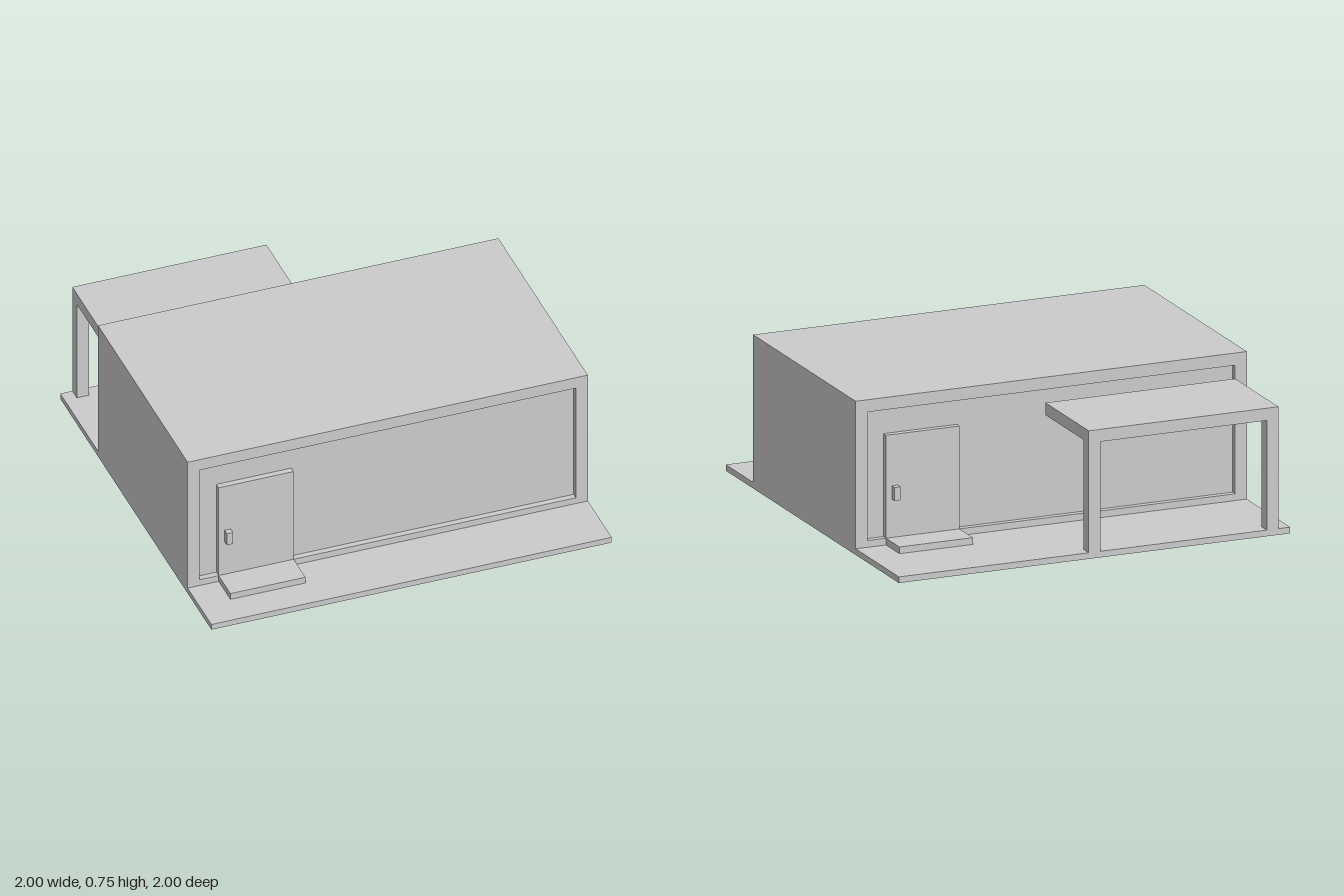
import * as THREE from 'three';

export function createModel() {
  const model = new THREE.Group();
  const material = new THREE.MeshStandardMaterial({ color: 0xcccccc, flatShading: true });

  // Box given by its extents along each axis
  const box = (parent, name, [x0, x1], [y0, y1], [z0, z1]) => {
    const mesh = new THREE.Mesh(new THREE.BoxGeometry(x1 - x0, y1 - y0, z1 - z0), material);
    mesh.position.set((x0 + x1) / 2, (y0 + y1) / 2, (z0 + z1) / 2);
    mesh.name = name;
    parent.add(mesh);
    return mesh;
  };

  const floor = 0.03, front = 0.685, back = -0.5, recess = 0.03;

  box(model, 'baseSlab', [-1, 1], [0, floor], [-1, 1]);

  // Shell: rectangular tube forming walls, roof and sill, open at front and back
  const outline = new THREE.Shape([[-1, floor], [1, floor], [1, 0.75], [-1, 0.75]]
    .map(([x, y]) => new THREE.Vector2(x, y)));
  outline.holes.push(new THREE.Path([[-0.94, 0.063], [-0.94, 0.69], [0.94, 0.69], [0.94, 0.063]]
    .map(([x, y]) => new THREE.Vector2(x, y))));
  const shell = new THREE.Mesh(
    new THREE.ExtrudeGeometry(outline, { depth: front - back, bevelEnabled: false }), material);
  shell.position.z = back;
  shell.name = 'houseShell';
  model.add(shell);

  // Recessed wall panels closing both openings
  box(model, 'frontWall', [-0.94, 0.94], [0.063, 0.69], [front - recess - 0.03, front - recess]);
  box(model, 'backWall', [-0.94, 0.94], [0.063, 0.69], [back + recess, back + recess + 0.03]);

  // Entrance: door, handle and step, with the outer wall plane at z = 0
  const entrance = (name, z, turn) => {
    const group = new THREE.Group();
    group.name = name;
    box(group, 'door', [-0.845, -0.47], [0.063, 0.565], [-recess, 0]);
    box(group, 'handle', [-0.815, -0.785], [0.25, 0.315], [0, 0.031]);
    box(group, 'step', [-0.845, -0.47], [floor, 0.063], [0, 0.156]);
    group.position.z = z;
    group.rotation.y = turn;
    model.add(group);
  };
  entrance('frontEntrance', front, 0);
  entrance('backEntrance', back, Math.PI);

  // Rear canopy on two corner posts
  const canopy = new THREE.Group();
  canopy.name = 'canopy';
  box(canopy, 'canopyRoof', [-0.94, 0.03], [0.565, 0.625], [-1, back]);
  for (const x of [-0.94, -0.03]) box(canopy, 'canopyPost', [x, x + 0.06], [floor, 0.565], [-1, -0.94]);
  model.add(canopy);

  return model;
}
